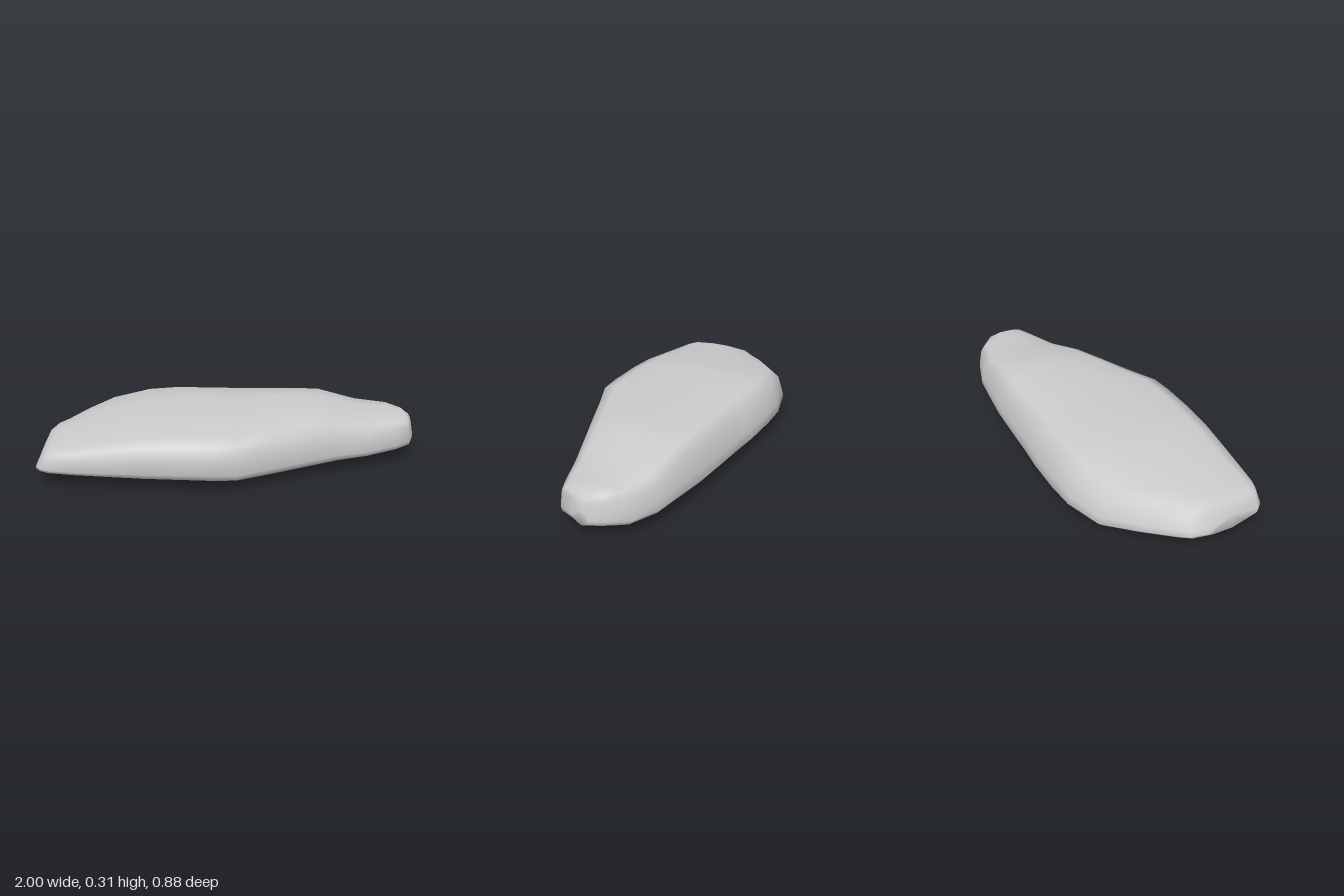
import * as THREE from 'three';

// Cross-section of the stone, walked from the back edge over the top to the front
// and home along the underside: [across 0 back..1 front, height 0..1]
const SECTION = [
  [0, 0.26], [0.012, 0.42], [0.045, 0.77], [0.12, 0.94], [0.36, 1], [0.68, 0.97],
  [0.9, 0.89], [0.98, 0.8], [0.992, 0.55], [1, 0.32], [0.97, 0.2],
  [0.7, 0.08], [0.49, 0], [0.12, 0.1], [0.03, 0.17],
];

// Stations along the length: [x at base, x at top, zBack, zFront, yBottom, yTop]
const STATIONS = [
  [-1.0, -0.95, 0.0, 0.31, 0.075, 0.205],
  [-0.975, -0.915, -0.08, 0.345, 0.066, 0.218],
  [-0.93, -0.87, -0.13, 0.362, 0.058, 0.224],
  [-0.8, -0.78, -0.26, 0.378, 0.045, 0.24],
  [-0.66, -0.65, -0.39, 0.395, 0.034, 0.264],
  [-0.46, -0.45, -0.44, 0.415, 0.018, 0.3],
  [-0.3, -0.3, -0.443, 0.425, 0.012, 0.31],
  [-0.1, -0.1, -0.43, 0.433, 0.005, 0.311],
  [0.02, 0.02, -0.415, 0.426, 0.001, 0.312],
  [0.2, 0.18, -0.4, 0.353, 0.002, 0.312],
  [0.4, 0.36, -0.384, 0.278, 0.01, 0.312],
  [0.56, 0.5, -0.36, 0.218, 0.017, 0.31],
  [0.73, 0.71, -0.327, 0.155, 0.025, 0.254],
  [0.89, 0.88, -0.265, 0.098, 0.042, 0.246],
  [0.965, 0.95, -0.18, 0.066, 0.062, 0.24],
  [1.0, 0.98, -0.11, -0.02, 0.078, 0.222],
];

function stoneGeometry() {
  const n = SECTION.length;
  const positions = [];
  const indices = [];

  // Skin: one ring per station, leaning where the ends slope
  for (const [xLow, xTop, zBack, zFront, yLow, yTop] of STATIONS) {
    for (const [u, v] of SECTION) {
      positions.push(
        THREE.MathUtils.lerp(xLow, xTop, Math.max(0, (v - 0.25) / 0.75)),
        THREE.MathUtils.lerp(yLow, yTop, v),
        THREE.MathUtils.lerp(zBack, zFront, u),
      );
    }
  }
  for (let i = 0; i < STATIONS.length - 1; i++) {
    for (let j = 0; j < n; j++) {
      const a = i * n + j, b = i * n + ((j + 1) % n);
      indices.push(a, b, a + n, b, b + n, a + n);
    }
  }

  // End faces: fans around the middle of the first and last ring
  for (const ring of [0, STATIONS.length - 1]) {
    const [xLow, xTop, zBack, zFront, yLow, yTop] = STATIONS[ring];
    const centre = positions.length / 3;
    positions.push(xLow * 0.7 + xTop * 0.3, (yLow + yTop) / 2, (zBack + zFront) / 2);
    for (let j = 0; j < n; j++) {
      const a = ring * n + j, b = ring * n + ((j + 1) % n);
      if (ring === 0) indices.push(centre, b, a);
      else indices.push(centre, a, b);
    }
  }

  const geometry = new THREE.BufferGeometry();
  geometry.setAttribute('position', new THREE.Float32BufferAttribute(positions, 3));
  geometry.setIndex(indices);
  geometry.computeVertexNormals();
  return geometry;
}

export function createModel() {
  const group = new THREE.Group();
  group.name = 'flatStone';
  const stone = new THREE.Mesh(stoneGeometry(), new THREE.MeshStandardMaterial({ color: 0xcccccc }));
  stone.name = 'stone';
  group.add(stone);
  return group;
}
